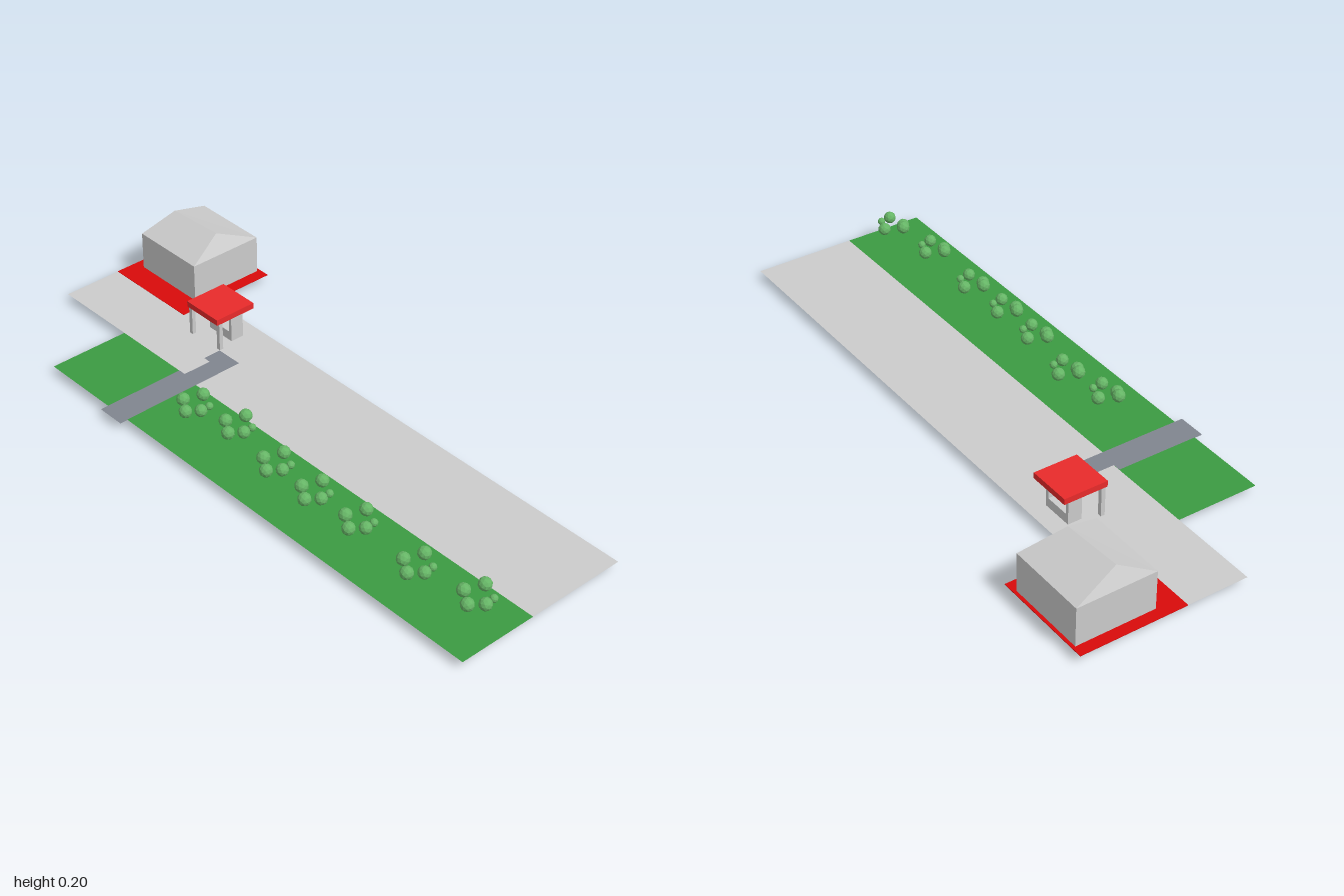
import * as THREE from 'three';

const GROUND = 0.025;
const mat = (color = 0xcccccc, opts = {}) => new THREE.MeshStandardMaterial({ color, ...opts });
const grey = mat();
const flatGrey = mat(0xcccccc, { side: THREE.DoubleSide });
const canopyRed = mat(0xe82a2a);
const baseRed = mat(0xd80a0a);
const lawnGreen = mat(0x3c9a42, { side: THREE.DoubleSide });
const pathGrey = mat(0x80858f, { side: THREE.DoubleSide });
const leafGreen = mat(0x66b566, { flatShading: true });

// Box given by its minimum and maximum corners
function box(name, [x0, y0, z0], [x1, y1, z1], material = grey) {
  const mesh = new THREE.Mesh(new THREE.BoxGeometry(x1 - x0, y1 - y0, z1 - z0), material);
  mesh.position.set((x0 + x1) / 2, (y0 + y1) / 2, (z0 + z1) / 2);
  mesh.name = name;
  return mesh;
}

// Flat sheet outlined by [x, z] corners at height y
function sheet(name, corners, y, material) {
  const shape = new THREE.Shape(corners.map(([x, z]) => new THREE.Vector2(x, -z)));
  const mesh = new THREE.Mesh(new THREE.ShapeGeometry(shape).rotateX(-Math.PI / 2), material);
  mesh.position.y = y;
  mesh.name = name;
  return mesh;
}

const rect = (x0, z0, x1, z1) => [[x0, z0], [x0, z1], [x1, z1], [x1, z0]];

// Hipped roof: four eave corners and a slightly skewed ridge
function hipRoof(x0, z0, x1, z1, eave, top) {
  const a = [x0, eave, z0], b = [x1, eave, z0], c = [x1, eave, z1], d = [x0, eave, z1];
  const back = [0.257, top, -0.935], front = [0.268, top, -0.745];
  const triangles = [
    d, c, front,
    b, a, back,
    c, b, back, c, back, front,
    a, d, front, a, front, back,
  ];
  const geometry = new THREE.BufferGeometry();
  geometry.setAttribute('position', new THREE.Float32BufferAttribute(triangles.flat(), 3));
  geometry.computeVertexNormals();
  const mesh = new THREE.Mesh(geometry, grey);
  mesh.name = 'houseRoof';
  return mesh;
}

function createGround() {
  const group = new THREE.Group();
  group.name = 'ground';
  group.add(
    sheet('lawn', [[-0.39, -0.715], [-0.39, 1], [-0.135, 1], [-0.135, -0.425], [-0.125, -0.425], [-0.125, -0.715]], GROUND, lawnGreen),
    sheet('rearRoad', rect(-0.125, -1, 0.19, -0.425), GROUND, flatGrey),
    sheet('rightLane', rect(-0.135, -0.425, 0.03, 1), GROUND, flatGrey),
    sheet('leftLane', rect(0.03, -0.425, 0.19, 1), GROUND, flatGrey),
    // Crossing path, with its wider bed below the road
    sheet('crossingPath', [[-0.415, -0.45], [-0.415, -0.36], [0.03, -0.36], [0.03, -0.45],
      [-0.03, -0.45], [-0.03, -0.425], [-0.125, -0.425], [-0.125, -0.45]], GROUND + 0.001, pathGrey),
    sheet('pathBed', rect(-0.415, -0.45, 0.13, -0.36), GROUND - 0.001, pathGrey),
    box('houseYard', [0.07, GROUND - 0.001, -1], [0.41, GROUND + 0.001, -0.67], baseRed),
  );
  return group;
}

function createHouse() {
  const group = new THREE.Group();
  group.name = 'house';
  group.add(
    box('houseWalls', [0.147, GROUND - 0.002, -0.965], [0.4, 0.15, -0.708]),
    hipRoof(0.147, -0.965, 0.4, -0.708, 0.15, 0.203),
  );
  return group;
}

function createKiosk() {
  const group = new THREE.Group();
  group.name = 'kiosk';
  group.add(
    box('canopy', [0.021, 0.12, -0.587], [0.163, 0.139, -0.447], canopyRed),
    box('frontPost', [0.032, 0.016, -0.464], [0.045, 0.12, -0.451]),
    box('backPost', [0.026, 0, -0.585], [0.039, 0.12, -0.572]),
  );
  // Booth: solid end walls, open window band along both long sides
  const x0 = 0.088, x1 = 0.133, z0 = -0.565, z1 = -0.463, t = 0.011;
  group.add(
    box('boothBackWall', [x0, 0.026, z0], [x1, 0.12, z0 + t]),
    box('boothFrontWall', [x0, 0.026, z1 - t], [x1, 0.12, z1]),
    box('boothLowerWall', [x0, 0.026, z0 + t], [x1, 0.056, z1 - t]),
    box('boothLintel', [x0, 0.104, z0 + t], [x1, 0.12, z1 - t]),
  );
  return group;
}

function createBushes() {
  const group = new THREE.Group();
  group.name = 'bushes';
  // Clump origins [x, z] along the lawn
  const clumps = [[-0.27, -0.25], [-0.245, -0.092], [-0.277, 0.108], [-0.282, 0.272],
    [-0.277, 0.442], [-0.287, 0.675], [-0.257, 0.866]];
  // Leaf balls of one clump: x, y, z, radius
  const balls = [[0, 0.1, 0, 0.02], [-0.02, 0.085, 0.034, 0.02], [0.056, 0.102, 0.022, 0.02],
    [0.003, 0.1, 0.076, 0.019], [0.036, 0.098, 0.073, 0.012]];
  const geometry = new THREE.IcosahedronGeometry(1, 1);
  clumps.forEach(([cx, cz]) => {
    const clump = new THREE.Group();
    clump.name = 'bush';
    clump.position.set(cx, 0, cz);
    balls.forEach(([x, y, z, r], i) => {
      const ball = new THREE.Mesh(geometry, leafGreen);
      ball.name = 'leafBall';
      ball.position.set(x, y, z);
      ball.rotation.set(i, i * 2, 0);
      ball.scale.setScalar(r);
      clump.add(ball);
    });
    group.add(clump);
  });
  return group;
}

export function createModel() {
  const model = new THREE.Group();
  model.name = 'roadsideScene';
  model.add(createGround(), createHouse(), createKiosk(), createBushes());
  return model;
}
